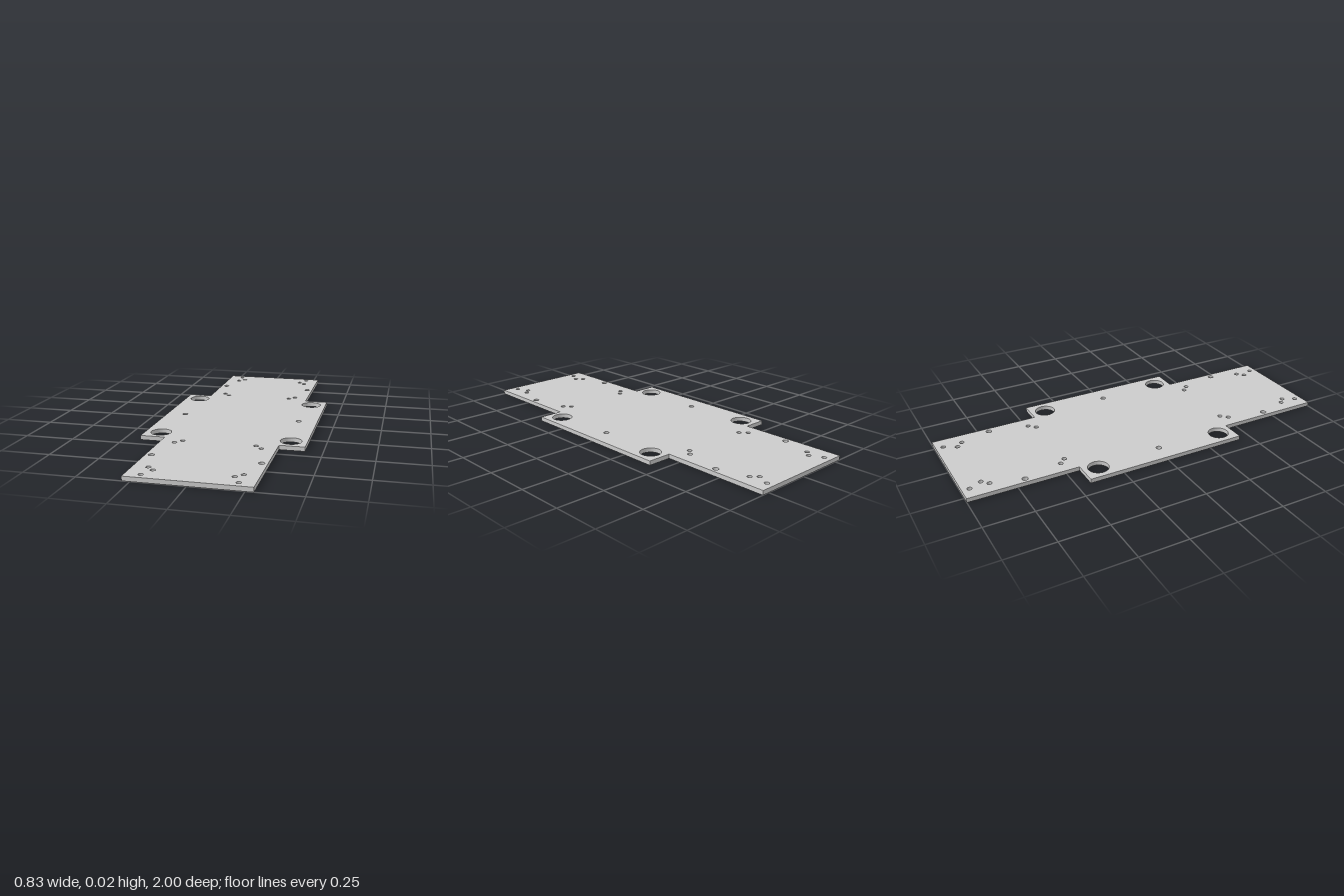
import * as THREE from 'three';

const THICKNESS = 0.022;

// One quadrant of the outline, and its holes as [x, z, radius]
const END_X = 0.288, WING_X = 0.414, WING_Z = 0.432, END_Z = 1;
const HOLES = [
  [0.333, 0.352, 0.053], // large wing holes
  [0.215, 0.962, 0.012], // screw holes near the ends
  [0.183, 0.897, 0.012],
  [0.215, 0.865, 0.012],
  [0.259, 0.704, 0.015], // edge holes
  [0.215, 0.5, 0.012], // screw holes near the wings
  [0.183, 0.466, 0.012],
  [0.315, 0, 0.014], // middle holes
];

export function createModel() {
  const group = new THREE.Group();
  group.name = 'mountingPlate';

  // Cross-shaped outline
  const outline = [
    [END_X, -END_Z], [END_X, -WING_Z], [WING_X, -WING_Z],
    [WING_X, WING_Z], [END_X, WING_Z], [END_X, END_Z],
  ];
  const mirrored = outline.map(([x, z]) => [-x, z]).reverse();
  const shape = new THREE.Shape([...outline, ...mirrored].map(([x, z]) => new THREE.Vector2(x, z)));

  // Holes mirrored into all four quadrants
  for (const [x, z, r] of HOLES) {
    for (const sx of [1, -1]) {
      for (const sz of z === 0 ? [1] : [1, -1]) {
        shape.holes.push(new THREE.Path().absarc(sx * x, sz * z, r, 0, Math.PI * 2, true));
      }
    }
  }

  // Extrude upwards from the ground
  const geometry = new THREE.ExtrudeGeometry(shape, {
    depth: THICKNESS, bevelEnabled: false, curveSegments: 20,
  });
  geometry.rotateX(-Math.PI / 2);

  const plate = new THREE.Mesh(geometry, new THREE.MeshStandardMaterial({ color: 0xcccccc }));
  plate.name = 'plate';
  group.add(plate);
  return group;
}
